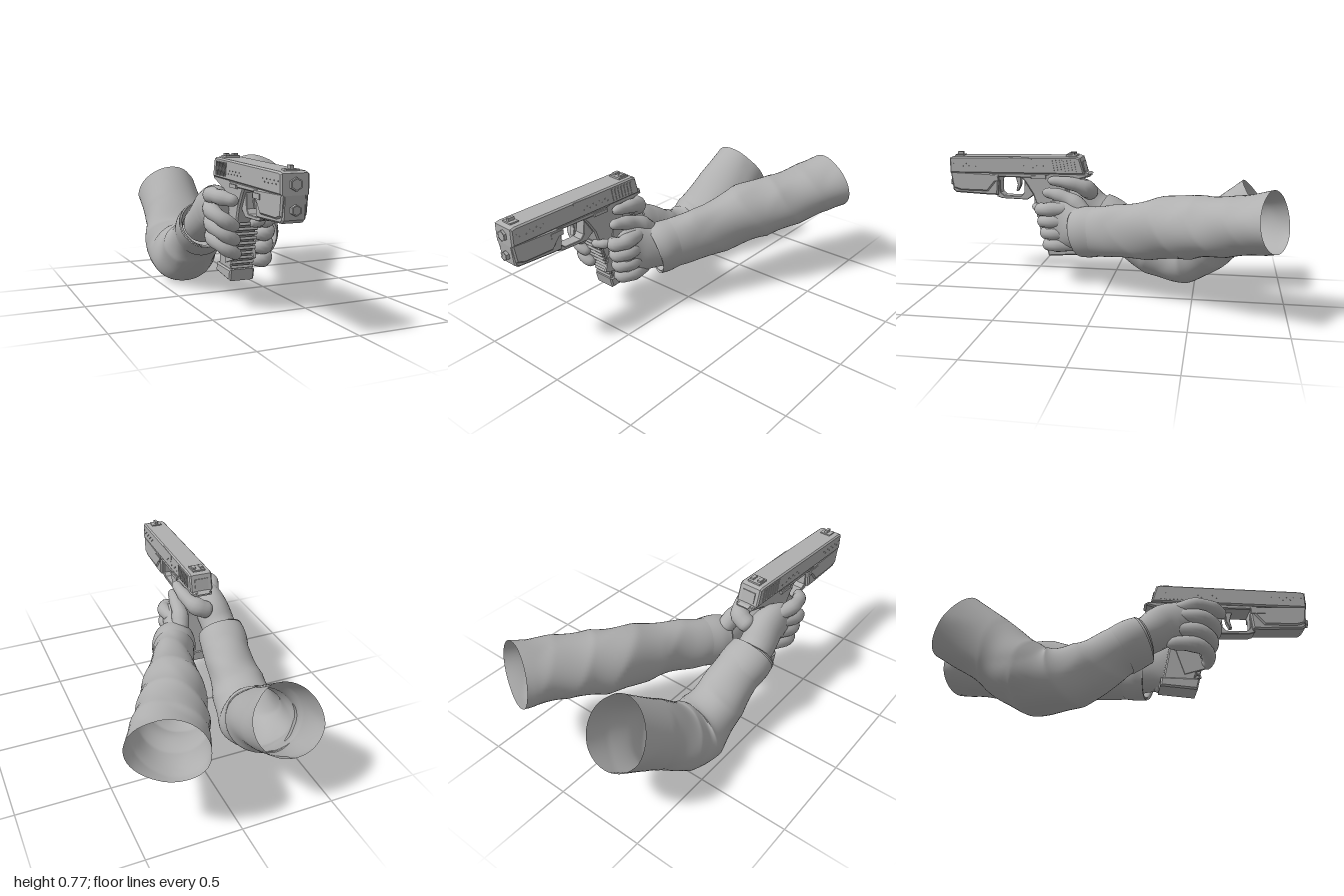
import * as THREE from 'three';

export function createModel() {
  const model = new THREE.Group();
  const grey = new THREE.MeshStandardMaterial({ color: 0xb0b0b0 });
  grey.name = 'plain grey';
  const cloth = grey.clone();
  cloth.name = 'plain grey cloth';
  cloth.side = THREE.DoubleSide;

  const add = (parent, name, geo, mat = grey) => {
    const m = new THREE.Mesh(geo, mat);
    m.name = name;
    parent.add(m);
    return m;
  };

  // Sweep of elliptical rings; each station is [x, y, z, halfWidth, halfHeight]
  function sweep(stations, { rows = 24, sides = 16, round = 0, fold = () => 0, up = [0, 1, 0] } = {}) {
    const path = new THREE.CatmullRomCurve3(stations.map(s => new THREE.Vector3(s[0], s[1], s[2])), false, 'catmullrom');
    const size = new THREE.CatmullRomCurve3(stations.map(s => new THREE.Vector3(s[3], s[4] ?? s[3], 0)), false, 'catmullrom');
    const upV = new THREE.Vector3(...up), pos = [], idx = [];
    for (let i = 0; i <= rows; i++) {
      let u = i / rows;
      if (round) u = 0.5 - 0.5 * Math.cos(Math.PI * u);
      const p = path.getPoint(u), t = path.getTangent(u), r = size.getPoint(u);
      const s = t.clone().cross(upV).normalize(), n = s.clone().cross(t);
      const k = round ? Math.min(1, Math.min(u, 1 - u) / round) : 1;
      const cap = Math.sqrt(Math.max(0.0004, 1 - (1 - k) ** 2));
      for (let j = 0; j < sides; j++) {
        const a = j / sides * Math.PI * 2, f = cap * (1 + fold(u, a));
        const q = p.clone().addScaledVector(s, Math.cos(a) * r.x * f).addScaledVector(n, Math.sin(a) * r.y * f);
        pos.push(q.x, q.y, q.z);
        if (i < rows) {
          const b = i * sides + j, c = i * sides + (j + 1) % sides;
          idx.push(b, b + sides, c, c, b + sides, c + sides);
        }
      }
    }
    const g = new THREE.BufferGeometry();
    g.setAttribute('position', new THREE.Float32BufferAttribute(pos, 3));
    g.setIndex(idx);
    g.computeVertexNormals();
    return g;
  }

  // ---- Sleeves: open tubes with slanting, uneven cloth folds ----
  const folds = (phase, bend) => (u, a) => {
    const near = Math.exp(-(((u - bend) / 0.25) ** 2));
    const ridge = 1 - 2 * Math.abs(Math.sin(u * 17 + 1.3 * Math.sin(a + phase) + phase));
    const crease = 1 - 2 * Math.abs(Math.sin(u * 11 - 1.5 * a + Math.sin(2 * a + phase) * 0.8));
    const ease = Math.min(1, Math.max(0, (u - 0.12) * 8));
    return ease * ((0.012 + 0.02 * near) * ridge + 0.014 * crease * Math.cos(a * 1.0 + u * 9) + 0.022 * Math.sin(3 * a + u * 14 + phase));
  };
  const sleeve = { rows: 90, sides: 48 };
  add(model, 'leftSleeve', sweep([
    [-0.113, 0.345, 0.14, 0.118, 0.14], [-0.07, 0.36, 0.04, 0.116, 0.143], [0.025, 0.397, -0.16, 0.122, 0.153],
    [0.115, 0.445, -0.40, 0.162, 0.172], [0.20, 0.475, -0.58, 0.178, 0.158], [0.28, 0.51, -0.75, 0.185, 0.152],
    [0.35, 0.542, -0.91, 0.195, 0.157]], { ...sleeve, fold: folds(0.6, 0.5) }), cloth);
  add(model, 'rightSleeve', sweep([
    [-0.383, 0.40, 0.075, 0.133, 0.125], [-0.365, 0.33, -0.05, 0.132, 0.132], [-0.36, 0.22, -0.21, 0.148, 0.155],
    [-0.347, 0.17, -0.38, 0.181, 0.168], [-0.333, 0.215, -0.50, 0.188, 0.172], [-0.30, 0.33, -0.64, 0.183, 0.172],
    [-0.278, 0.492, -0.868, 0.182, 0.182]], { ...sleeve, fold: folds(2.1, 0.45) }), cloth);

  // Turned cuffs: short double-walled bands
  const cuff = { rows: 14, sides: 40, fold: (u, a) => 0.015 * Math.sin(3 * a) };
  add(model, 'leftCuff', sweep([
    [-0.075, 0.36, 0.05, 0.118, 0.144], [-0.10, 0.35, 0.11, 0.126, 0.148], [-0.122, 0.34, 0.16, 0.122, 0.143]], cuff), cloth);
  add(model, 'leftCuffLining', sweep([
    [-0.122, 0.34, 0.16, 0.122, 0.143], [-0.118, 0.342, 0.15, 0.106, 0.127], [-0.10, 0.35, 0.10, 0.1, 0.118]], cuff), cloth);
  add(model, 'rightCuff', sweep([
    [-0.368, 0.345, -0.02, 0.133, 0.132], [-0.38, 0.38, 0.04, 0.136, 0.132], [-0.384, 0.405, 0.09, 0.131, 0.126]], cuff), cloth);
  add(model, 'rightCuffLining', sweep([
    [-0.384, 0.405, 0.09, 0.131, 0.126], [-0.384, 0.40, 0.08, 0.114, 0.11], [-0.38, 0.38, 0.04, 0.1, 0.1]], cuff), cloth);

  // ---- Hands ----
  const finger = (parent, name, pts) =>
    add(parent, name, sweep(pts, { rows: 22, sides: 14, round: 0.16, up: [0.08, 1, 0.05], fold: u => 0.06 * Math.cos(u * 19) }));
  const right = new THREE.Group(), left = new THREE.Group();
  right.name = 'rightHand';
  left.name = 'leftHand';
  model.add(right, left);

  add(right, 'rightPalm', sweep([
    [-0.38, 0.37, 0.0, 0.1, 0.1], [-0.385, 0.435, 0.12, 0.098, 0.1], [-0.38, 0.50, 0.21, 0.094, 0.115],
    [-0.395, 0.51, 0.29, 0.075, 0.115], [-0.42, 0.50, 0.36, 0.045, 0.09]], { rows: 26, sides: 24, round: 0.12 }));
  finger(right, 'rightIndexFinger', [
    [-0.40, 0.57, 0.24, 0.04], [-0.445, 0.59, 0.36, 0.04], [-0.43, 0.585, 0.46, 0.036], [-0.38, 0.57, 0.53, 0.03]]);
  for (let i = 0; i < 3; i++) {
    const y = -0.072 * i, z = -0.018 * i, x = 0.012 * i;
    finger(right, 'rightFinger' + (i + 1), [
      [-0.41 + x, 0.535 + y, 0.25 + z, 0.04], [-0.452 + x, 0.52 + y, 0.36 + z, 0.04],
      [-0.445 + x, 0.495 + y, 0.445 + z, 0.037], [-0.395 + x, 0.46 + y, 0.47 + z, 0.034], [-0.35 + x, 0.435 + y, 0.45 + z, 0.03]]);
  }
  finger(right, 'rightThumb', [
    [-0.34, 0.53, 0.13, 0.055], [-0.25, 0.575, 0.15, 0.05], [-0.212, 0.61, 0.24, 0.036], [-0.21, 0.625, 0.37, 0.03]]);

  add(left, 'leftPalm', sweep([
    [-0.09, 0.35, 0.06, 0.1, 0.12], [-0.135, 0.36, 0.18, 0.085, 0.125], [-0.165, 0.365, 0.27, 0.068, 0.15],
    [-0.175, 0.36, 0.38, 0.05, 0.135]], { rows: 26, sides: 24, round: 0.12 }));
  for (let i = 0; i < 4; i++) {
    const y = 0.465 - 0.07 * i, z = -0.015 * i;
    finger(left, 'leftFinger' + (i + 1), [
      [-0.15, y, 0.22 + z, 0.04], [-0.137, y, 0.32 + z, 0.041], [-0.15, y - 0.005, 0.385 + z, 0.039],
      [-0.188, y - 0.01, 0.405 + z, 0.036], [-0.215, y - 0.01, 0.36 + z, 0.03]]);
  }
  finger(left, 'leftThumb', [
    [-0.15, 0.43, 0.13, 0.055], [-0.175, 0.50, 0.20, 0.048], [-0.19, 0.54, 0.30, 0.038], [-0.205, 0.555, 0.40, 0.03]]);
  finger(left, 'leftFingertip', [
    [-0.19, 0.46, 0.40, 0.026], [-0.24, 0.455, 0.45, 0.024], [-0.285, 0.452, 0.455, 0.02]]);

  // ---- Pistol: side profiles in (z, y), extruded across x ----
  const gun = new THREE.Group();
  gun.name = 'pistol';
  gun.position.set(-0.29, 0, 0.2);
  gun.rotation.y = -0.033;
  model.add(gun);
  const plate = (name, pts, half, bevel = 0.008) => {
    const shape = new THREE.Shape(pts.map(p => new THREE.Vector2(...p)));
    const g = new THREE.ExtrudeGeometry(shape, {
      depth: 2 * (half - bevel), bevelThickness: bevel, bevelSize: bevel, bevelOffset: -bevel, bevelSegments: 1 });
    g.translate(0, 0, bevel - half).rotateY(-Math.PI / 2).translate(0, 0, -0.2);
    return add(gun, name, g);
  };
  const box = (name, w, h, d, x, y, z, tilt = 0) => {
    const m = add(gun, name, new THREE.BoxGeometry(w, h, d));
    m.position.set(x, y, z - 0.2);
    m.rotation.x = tilt;
    return m;
  };

  plate('slide', [[0.985, 0.738], [0.985, 0.645], [0.15, 0.66], [0.178, 0.755], [0.2, 0.762], [0.96, 0.745]], 0.067, 0.008);
  plate('frame', [[0.985, 0.65], [0.975, 0.54], [0.955, 0.525], [0.74, 0.517], [0.69, 0.517], [0.68, 0.63], [0.54, 0.63],
    [0.515, 0.6], [0.47, 0.53], [0.36, 0.2], [0.2, 0.205], [0.25, 0.45], [0.262, 0.57], [0.23, 0.615], [0.125, 0.645],
    [0.13, 0.665], [0.3, 0.665]], 0.055, 0.008);
  plate('triggerGuard', [[0.71, 0.54], [0.7, 0.505], [0.67, 0.495], [0.51, 0.492], [0.46, 0.53], [0.48, 0.58], [0.525, 0.62],
    [0.53, 0.535], [0.55, 0.512], [0.655, 0.512], [0.678, 0.53], [0.68, 0.62], [0.7, 0.62]], 0.034, 0.003);
  plate('dustCover', [[0.985, 0.655], [0.97, 0.555], [0.92, 0.54], [0.75, 0.54], [0.7, 0.6], [0.67, 0.645]], 0.063, 0.008);
  plate('frameRail', [[0.72, 0.652], [0.72, 0.63], [0.42, 0.63], [0.36, 0.655]], 0.061, 0.005);
  plate('magazineWell', [[0.39, 0.215], [0.375, 0.155], [0.185, 0.172], [0.19, 0.22]], 0.066, 0.008);
  plate('trigger', [[0.59, 0.635], [0.575, 0.58], [0.585, 0.54], [0.572, 0.54], [0.553, 0.58], [0.555, 0.635]], 0.016, 0.003);
  plate('beavertail', [[0.24, 0.655], [0.24, 0.62], [0.15, 0.64], [0.115, 0.66], [0.13, 0.668]], 0.04, 0.006);

  // Grip ribs on the front strap
  for (let i = 0; i < 10; i++) {
    const y = 0.225 + i * 0.025;
    box('gripRib', 0.116, 0.014, 0.018, 0, y, 0.368 + (y - 0.2) * 0.333, -0.3);
  }
  // Serrations, side panels and pin rows on both flanks
  for (const s of [-1, 1]) {
    for (let i = 0; i < 7; i++) {
      box('rearSerration', 0.006, 0.07, 0.011, s * 0.067, 0.708, 0.21 + i * 0.022, 0.2);
    }
    for (let i = 0; i < 18; i++) {
      box('slidePin', 0.005, 0.005, 0.005, s * 0.067, 0.69 + (i % 2) * 0.015, i < 9 ? 0.38 + i * 0.02 : 0.62 + i * 0.02);
    }
    box('slideStop', 0.012, 0.018, 0.09, s * 0.061, 0.635, 0.43);
    box('lowerPanel', 0.008, 0.026, 0.075, s * 0.062, 0.618, 0.72);
    box('gripPanel', 0.014, 0.24, 0.11, s * 0.055, 0.37, 0.33, -0.3);
    box('rearSightPost', 0.02, 0.016, 0.035, s * 0.022, 0.773, 0.235);
  }
  box('rearSightBase', 0.075, 0.014, 0.065, 0, 0.764, 0.235);
  box('frontSightBase', 0.06, 0.01, 0.05, 0, 0.748, 0.935);
  box('frontSightPost', 0.016, 0.022, 0.035, 0, 0.758, 0.935);
  box('rearPlate', 0.08, 0.06, 0.01, 0, 0.702, 0.163, 0.23);
  box('ejectionPort', 0.05, 0.028, 0.14, 0.0435, 0.734, 0.54);

  // Hexagonal muzzle and guide rod with bored centres
  const hexagon = r => Array.from({ length: 6 }, (_, i) =>
    new THREE.Vector2(r * Math.sin(i * Math.PI / 3), r * Math.cos(i * Math.PI / 3)));
  for (const [name, y, r] of [['muzzle', 0.692, 0.03], ['guideRod', 0.583, 0.025]]) {
    const ring = new THREE.Shape(hexagon(r));
    ring.holes.push(new THREE.Path(hexagon(0.75 * r)));
    const m = add(gun, name, new THREE.ExtrudeGeometry(ring, { depth: 0.03, bevelEnabled: false }));
    m.position.set(0, y, 0.768);
  }
  return model;
}
